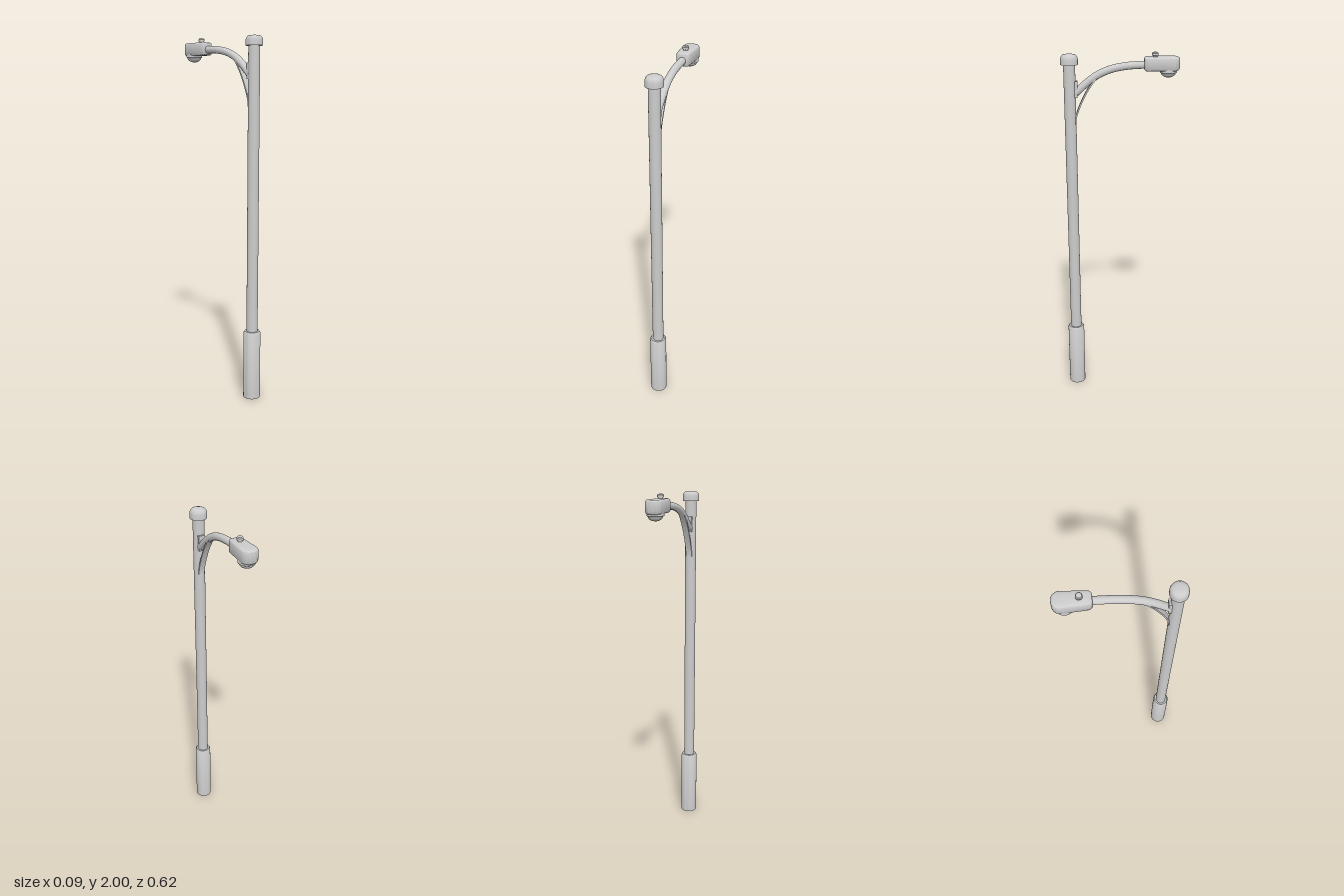
import * as THREE from 'three';
import { toCreasedNormals } from 'three/addons/utils/BufferGeometryUtils.js';

const POLE_Z = 0.265;
const material = new THREE.MeshStandardMaterial({ color: 0xcccccc, side: THREE.DoubleSide });
const v = (y, z) => new THREE.Vector3(0, y, z);

export function createModel() {
  const group = new THREE.Group();
  const add = (name, geometry, y = 0, z = 0) => {
    const mesh = new THREE.Mesh(geometry, material);
    mesh.name = name;
    mesh.position.set(0, y, z);
    group.add(mesh);
  };
  // Revolved part from [radius, height] pairs
  const lathe = (points, segments = 32) => toCreasedNormals(
    new THREE.LatheGeometry(points.map(([r, y]) => new THREE.Vector2(r, y)), segments), 0.6);

  // Upright: sleeve, shaft and domed cap
  add('baseSleeve', lathe([[0, 0], [0.047, 0], [0.047, 0.378], [0.041, 0.388], [0.03, 0.388]]), 0, POLE_Z);
  add('pole', new THREE.CylinderGeometry(0.031, 0.031, 1.58, 32), 1.165, POLE_Z);
  add('poleCap', lathe([[0.03, 1.938], [0.046, 1.938], [0.046, 1.966], [0.043, 1.978],
    [0.035, 1.987], [0.02, 1.991], [0, 1.992]]), 0, POLE_Z);

  // Curved arm and its mounting plate
  const armCurve = new THREE.CatmullRomCurve3([
    v(1.785, 0.24), v(1.815, 0.207), v(1.851, 0.165), v(1.885, 0.115),
    v(1.912, 0.05), v(1.928, -0.03), v(1.935, -0.14)]);
  add('arm', new THREE.TubeGeometry(armCurve, 40, 0.02, 20));
  add('mountingPlate', new THREE.BoxGeometry(0.036, 0.085, 0.016), 1.81, 0.232);

  // Flat curved strip bracing the arm from below
  const outer = [[0.236, 1.625], [0.228, 1.67], [0.203, 1.735], [0.163, 1.81], [0.115, 1.875]];
  const braceShape = new THREE.Shape();
  braceShape.moveTo(...outer[0]);
  braceShape.splineThru(outer.slice(1).map(([z, y]) => new THREE.Vector2(z, y)));
  braceShape.lineTo(0.122, 1.88);
  braceShape.splineThru(outer.slice(0, 4).reverse().map(([z, y]) => new THREE.Vector2(z + 0.007, y + 0.004)));
  braceShape.closePath();
  const brace = new THREE.ExtrudeGeometry(braceShape, { depth: 0.034, bevelEnabled: false, curveSegments: 12 });
  brace.translate(0, 0, -0.017).rotateY(-Math.PI / 2);
  // Shape x now runs along +z
  add('armBrace', toCreasedNormals(brace, 0.6));

  // Lamp housing: tapered outline with a round far end, softened edges
  const outline = new THREE.Shape();
  outline.moveTo(-0.02, 0.125);
  outline.lineTo(0.02, 0.125);
  outline.quadraticCurveTo(0.034, 0.127, 0.037, 0.145);
  outline.lineTo(0.045, 0.272);
  outline.bezierCurveTo(0.043, 0.297, 0.024, 0.312, 0, 0.312);
  outline.bezierCurveTo(-0.024, 0.312, -0.043, 0.297, -0.045, 0.272);
  outline.lineTo(-0.037, 0.145);
  outline.quadraticCurveTo(-0.034, 0.127, -0.02, 0.125);
  const bevel = 0.014;
  const housing = new THREE.ExtrudeGeometry(outline, {
    depth: 0.072 - 2 * bevel, bevelSize: bevel, bevelThickness: bevel,
    bevelOffset: -bevel, bevelSegments: 5, curveSegments: 10 });
  housing.rotateX(-Math.PI / 2);
  add('lampHousing', toCreasedNormals(housing, 0.7), 1.903 + bevel);

  // Lens ring and shallow glass bowl beneath the housing
  add('lensRing', lathe([[0, 0.015], [0.043, 0.015], [0.045, 0.004], [0.045, -0.003], [0.038, -0.007], [0, -0.007]].reverse()),
    1.898, -0.253);
  const bowl = new THREE.SphereGeometry(0.039, 32, 10, 0, Math.PI * 2, Math.PI / 2, Math.PI / 2);
  bowl.scale(1, 0.65, 1);
  add('lensBowl', bowl, 1.893, -0.253);

  // Light sensor on top of the housing
  add('lightSensor', lathe([[0.012, 1.965], [0.012, 1.98], [0.017, 1.982], [0.017, 1.993],
    [0.013, 1.998], [0, 2]], 24), 0, -0.183);

  return group;
}
